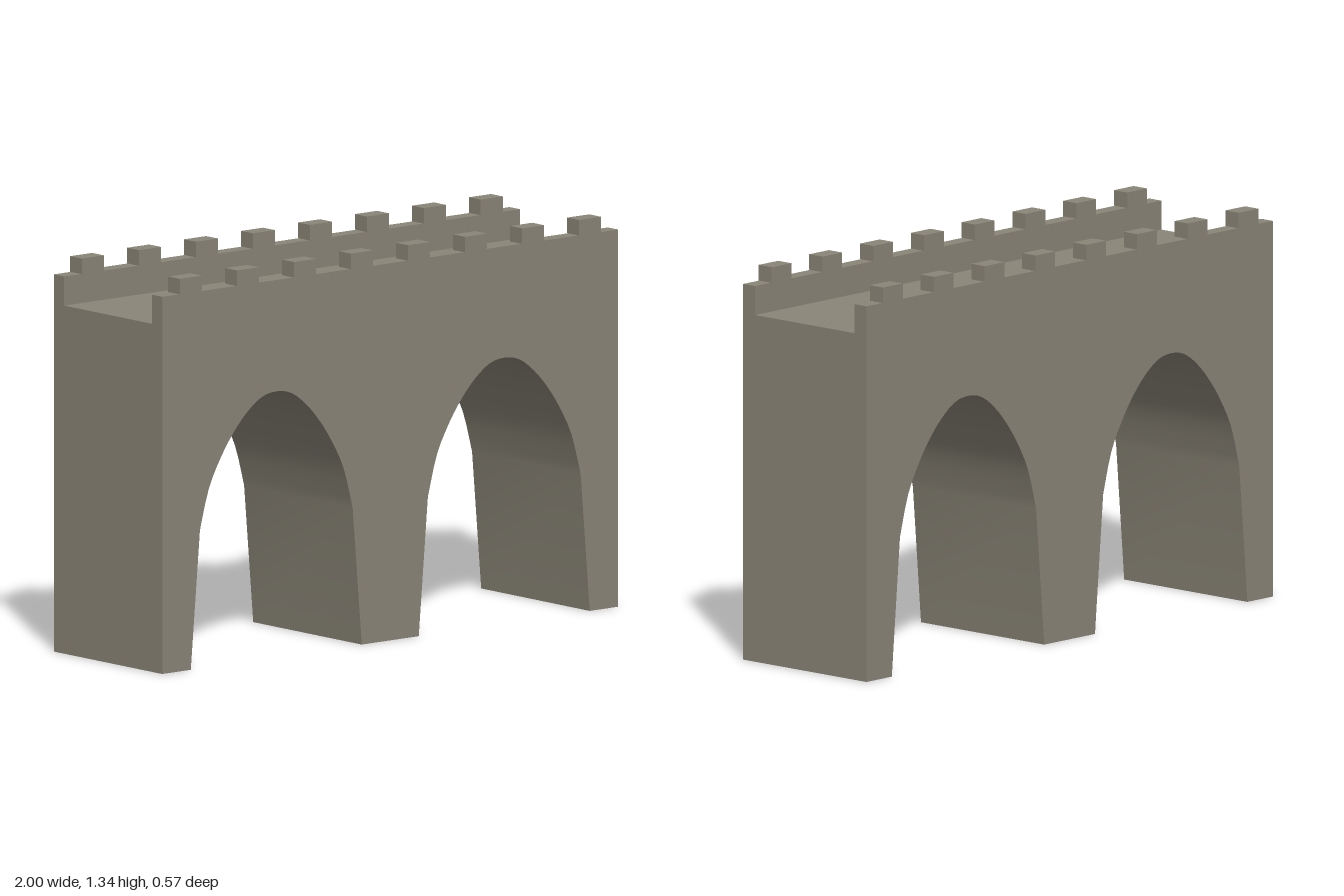
import * as THREE from 'three';
import { toCreasedNormals } from 'three/addons/utils/BufferGeometryUtils.js';

const HALF_DEPTH = 0.282;
const DECK_Y = 1.185;
const PARAPET_Y = 1.284;
const TOP_Y = 1.337;

// Half of an arch curve: offset from the arch centre, height
const archHalf = [[0.335, 0.47], [0.295, 0.61], [0.24, 0.713], [0.186, 0.788], [0.13, 0.847], [0.066, 0.892]];

function addArch(shape, cx) {
  const left = archHalf.map(([dx, y]) => new THREE.Vector2(cx - dx, y));
  const right = archHalf.map(([dx, y]) => new THREE.Vector2(cx + dx, y)).reverse();
  const curve = new THREE.SplineCurve([...left, new THREE.Vector2(cx, 0.905), ...right]);
  shape.lineTo(cx - 0.375, 0);
  curve.getPoints(36).forEach((p) => shape.lineTo(p.x, p.y));
  shape.lineTo(cx + 0.375, 0);
}

export function createModel() {
  const model = new THREE.Group();
  model.name = 'archedBridge';
  const stone = new THREE.MeshStandardMaterial({ color: 0x8a8577 });
  stone.name = 'stone';

  const addMesh = (geometry, name, x = 0, y = 0, z = 0) => {
    const mesh = new THREE.Mesh(geometry, stone);
    mesh.name = name;
    mesh.position.set(x, y, z);
    model.add(mesh);
  };

  // Bridge body with two arched openings between tapered piers
  const outline = new THREE.Shape();
  outline.moveTo(-1, 0);
  addArch(outline, -0.5);
  addArch(outline, 0.5);
  outline.lineTo(1, 0);
  outline.lineTo(1, DECK_Y);
  outline.lineTo(-1, DECK_Y);
  outline.closePath();
  const body = new THREE.ExtrudeGeometry(outline, { depth: HALF_DEPTH * 2, bevelEnabled: false });
  addMesh(toCreasedNormals(body, 0.6), 'body', 0, 0, -HALF_DEPTH);

  // Parapet walls with evenly spaced merlons along both sides
  const parapet = new THREE.BoxGeometry(2, PARAPET_Y - DECK_Y, 0.054);
  const merlon = new THREE.BoxGeometry(0.097, TOP_Y - PARAPET_Y, 0.061);
  for (const side of [1, -1]) {
    const label = side > 0 ? 'front' : 'back';
    const z = side * (HALF_DEPTH - 0.027);
    addMesh(parapet, label + 'Parapet', 0, (DECK_Y + PARAPET_Y) / 2, z);
    for (let i = 0; i < 8; i++) {
      addMesh(merlon, label + 'Merlon' + (i + 1), -0.877 + i * 0.25, (PARAPET_Y + TOP_Y) / 2, z);
    }
  }
  return model;
}
